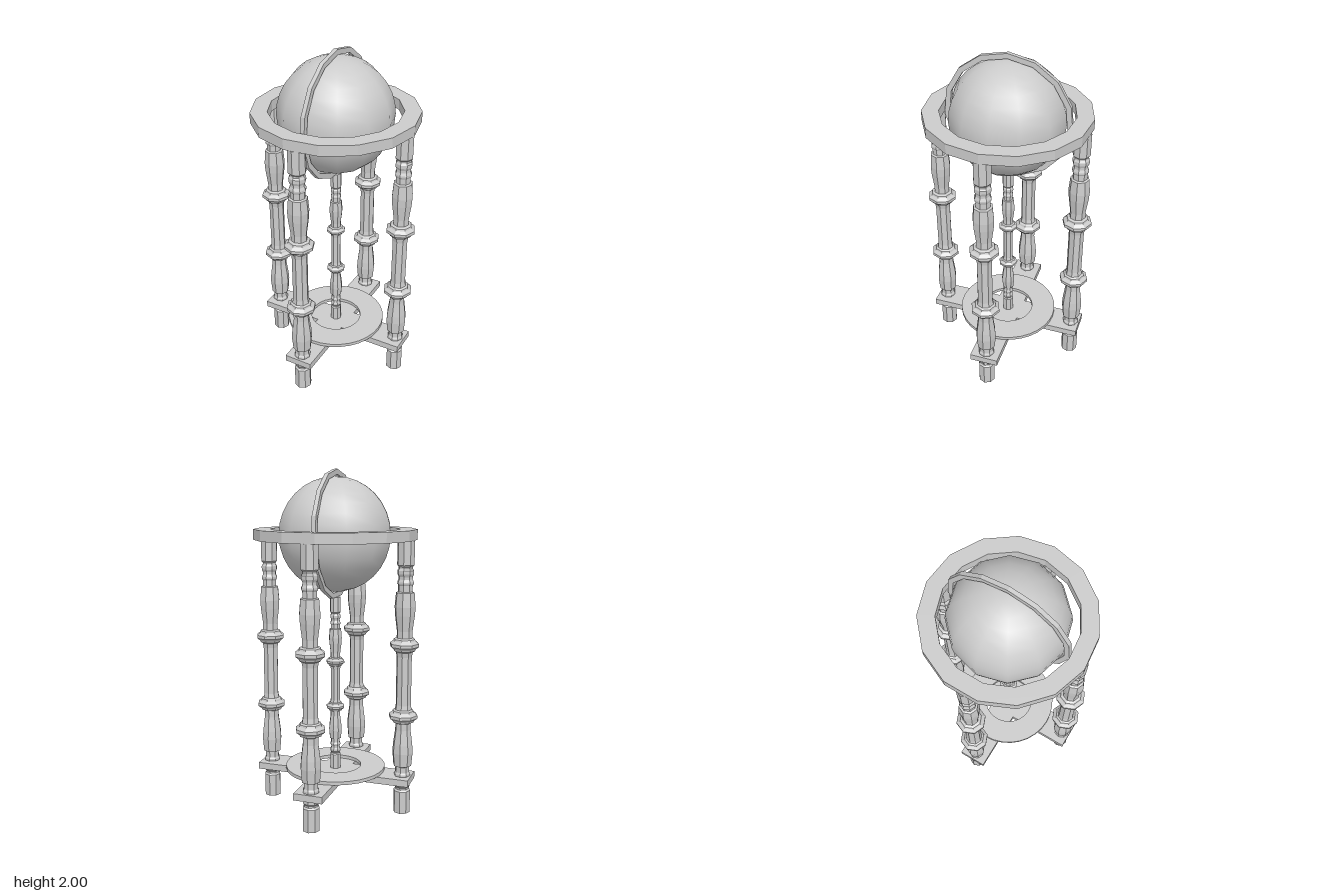
import * as THREE from 'three';

const smooth = new THREE.MeshStandardMaterial({ color: 0xcccccc });
const faceted = new THREE.MeshStandardMaterial({ color: 0xcccccc, flatShading: true });

// Lower half of the turned spindle as [radius, height]; the upper half mirrors it
const SPINDLE_HEIGHT = 1.605;
const HALF_PROFILE = [
  [0, 0], [0.05, 0], [0.05, 0.135], [0.041, 0.145], [0.041, 0.155],
  [0.048, 0.165], [0.048, 0.185], [0.041, 0.2], [0.041, 0.215], [0.048, 0.23],
  [0.048, 0.24], [0.042, 0.25], [0.042, 0.285], [0.054, 0.29], [0.061, 0.37],
  [0.058, 0.42], [0.046, 0.51], [0.046, 0.55], [0.062, 0.557], [0.066, 0.567],
  [0.085, 0.582], [0.085, 0.6], [0.066, 0.615], [0.062, 0.625], [0.05, 0.632],
  [0.045, 0.66],
];

function spindleGeometry() {
  const lower = HALF_PROFILE.map(([r, y]) => new THREE.Vector2(r, y));
  const upper = HALF_PROFILE.map(([r, y]) => new THREE.Vector2(r, SPINDLE_HEIGHT - y)).reverse();
  return new THREE.LatheGeometry([...lower, ...upper], 8);
}

// Flat band with polygonal edges, centred on its own axis (z)
function bandGeometry(outer, inner, depth, sides) {
  const circle = (r) => Array.from({ length: sides }, (_, i) => {
    const a = (i / sides) * Math.PI * 2;
    return new THREE.Vector2(r * Math.cos(a), r * Math.sin(a));
  });
  const shape = new THREE.Shape(circle(outer));
  shape.holes.push(new THREE.Path(circle(inner)));
  return new THREE.ExtrudeGeometry(shape, { depth, bevelEnabled: false }).translate(0, 0, -depth / 2);
}

// Plus-shaped plate, laid flat
function crossGeometry(length, width, depth) {
  const points = [];
  for (let i = 0; i < 4; i++) {
    for (const [x, y] of [[width, -width], [length, -width], [length, width]]) {
      points.push(new THREE.Vector2(x, y).rotateAround(new THREE.Vector2(), (i * Math.PI) / 2));
    }
  }
  return new THREE.ExtrudeGeometry(new THREE.Shape(points), { depth, bevelEnabled: false })
    .translate(0, 0, -depth / 2).rotateX(-Math.PI / 2);
}

export function createModel() {
  const model = new THREE.Group();
  model.name = 'floorGlobe';
  const add = (name, geometry, material, x = 0, y = 0, z = 0) => {
    const mesh = new THREE.Mesh(geometry, material);
    mesh.name = name;
    mesh.position.set(x, y, z);
    model.add(mesh);
    return mesh;
  };

  // Globe with its upright meridian band and level horizon ring
  const globeY = 1.632;
  add('globe', new THREE.SphereGeometry(0.328, 12, 16), smooth, 0, globeY, 0);
  const meridian = bandGeometry(0.368, 0.338, 0.024, 15).rotateZ(Math.PI / 2).rotateY(Math.PI / 2);
  add('meridianBand', meridian, faceted, 0, globeY, 0);
  add('horizonRing', bandGeometry(0.47, 0.375, 0.06, 15).rotateX(-Math.PI / 2), faceted, 0, 1.635, 0);

  // Four turned legs, and the same turning at a smaller scale under the globe
  const turned = spindleGeometry();
  const reach = 0.418;
  const spots = { leftLeg: [reach, 0], rightLeg: [-reach, 0], frontLeg: [0, reach], backLeg: [0, -reach] };
  for (const [name, [x, z]] of Object.entries(spots)) add(name, turned, faceted, x, 0, z);
  add('centreSpindle', turned, faceted, 0, 0.225, 0).scale.setScalar(0.652);

  // Cross stretcher carrying an open disc
  add('crossStretcher', crossGeometry(0.473, 0.085, 0.04), faceted, 0, 0.206, 0);
  add('baseDisc', bandGeometry(0.3, 0.155, 0.02, 32).rotateX(-Math.PI / 2), faceted, 0, 0.236, 0);

  return model;
}
